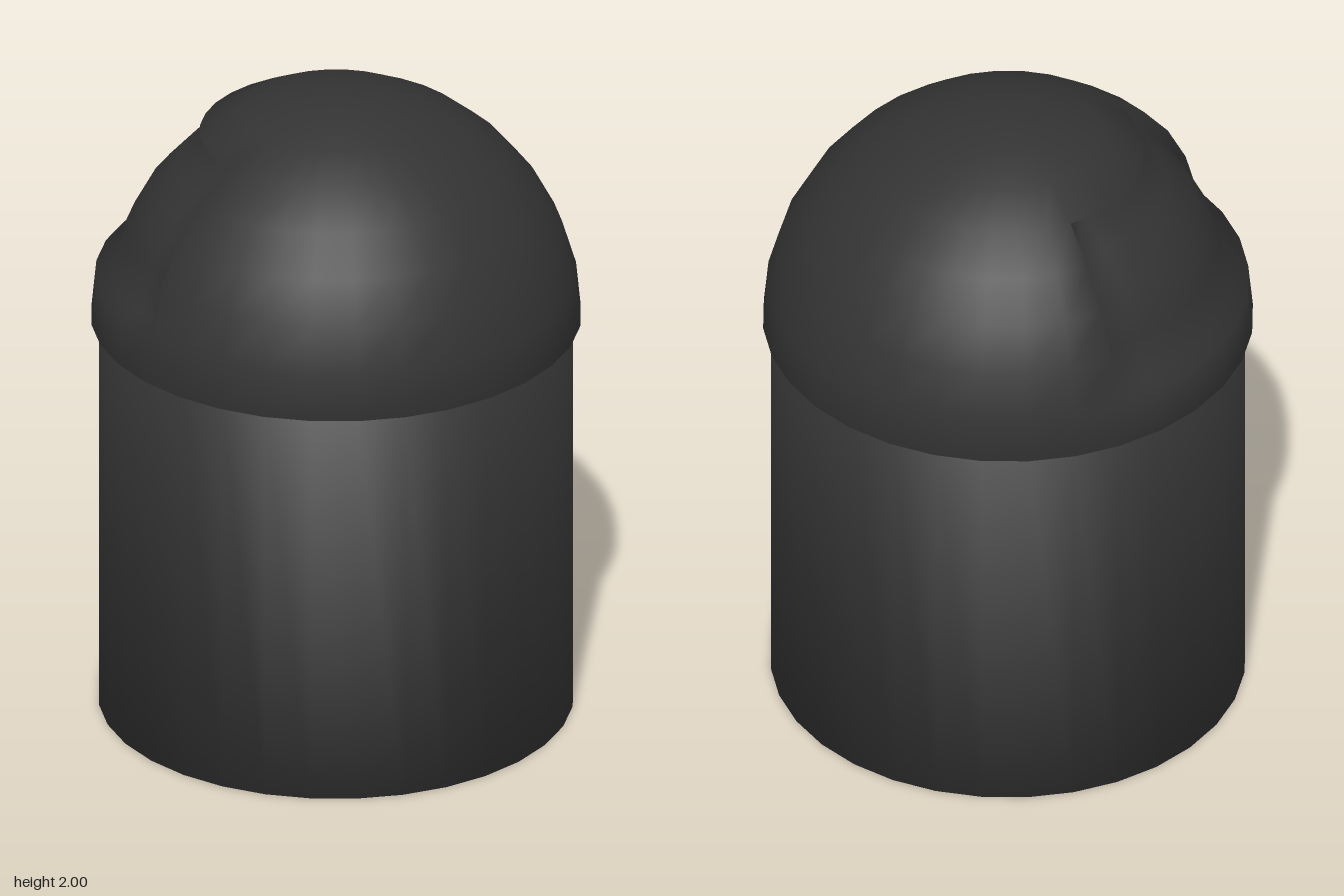
import * as THREE from 'three';

const SIDES = 32, RINGS = 8;
const LID_R = 0.735, LID_Y = 1.265, BODY_R = 0.712;

// Opening in the dome: ring and segment limits, and the flap's own profile [radius, y]
const R0 = 1, R1 = 5, S0 = -4, S1 = 5;
const FLAP = [[0.665, 1.415], [0.63, 1.55], [0.565, 1.67], [0.47, 1.775], [0.35, 1.868]];

// Domed lid with a recessed flap and an underside lip, as one smooth surface
function lidGeometry() {
  const positions = [], index = [], ids = new Map();
  const wrap = j => (j + SIDES) % SIDES;
  const vertex = (key, r, y, j) => {
    if (!ids.has(key)) {
      const a = j * 2 * Math.PI / SIDES; // angle 0 points to -x, growing towards +z
      ids.set(key, positions.length / 3);
      positions.push(-r * Math.cos(a), y, r * Math.sin(a));
    }
    return ids.get(key);
  };
  const outer = (i, j) => {
    if (i === RINGS) return vertex('pole', 0, LID_Y + LID_R, 0);
    const t = i / RINGS * Math.PI / 2;
    return vertex(`o${i},${wrap(j)}`, LID_R * Math.cos(t), LID_Y + LID_R * Math.sin(t), j);
  };
  const inner = (i, j) => vertex(`i${i},${j}`, ...FLAP[i - R0], j);
  const lip = j => vertex(`l${wrap(j)}`, BODY_R - 0.01, LID_Y, j);
  const quad = (a, b, c, d) => {
    index.push(a, b, c);
    if (c !== d) index.push(a, c, d);
  };

  for (let j = S0; j < S0 + SIDES; j++) {
    quad(lip(j), lip(j + 1), outer(0, j + 1), outer(0, j));
    for (let i = 0; i < RINGS; i++) {
      const p = i >= R0 && i < R1 && j < S1 ? inner : outer;
      quad(p(i, j), p(i, j + 1), p(i + 1, j + 1), p(i + 1, j));
    }
  }
  // Ledge below and overhang above the flap
  for (let j = S0; j < S1; j++) {
    quad(outer(R0, j), outer(R0, j + 1), inner(R0, j + 1), inner(R0, j));
    quad(inner(R1, j), inner(R1, j + 1), outer(R1, j + 1), outer(R1, j));
  }
  // Side walls of the opening
  for (let i = R0; i < R1; i++) {
    quad(outer(i, S0), inner(i, S0), inner(i + 1, S0), outer(i + 1, S0));
    quad(inner(i, S1), outer(i, S1), outer(i + 1, S1), inner(i + 1, S1));
  }

  const geometry = new THREE.BufferGeometry();
  geometry.setAttribute('position', new THREE.Float32BufferAttribute(positions, 3));
  geometry.setIndex(index);
  geometry.computeVertexNormals();
  return geometry;
}

export function createModel() {
  const group = new THREE.Group();
  group.name = 'dustbin';
  const plastic = new THREE.MeshStandardMaterial({ color: 0x333333 });
  plastic.name = 'dark grey plastic';

  // Closed cylindrical body
  const profile = [[0, 0], [BODY_R, 0], [BODY_R, 1.27], [0, 1.27]]
    .map(([x, y]) => new THREE.Vector2(x, y));
  const body = new THREE.Mesh(new THREE.LatheGeometry(profile, SIDES), plastic);
  body.name = 'body';

  const lid = new THREE.Mesh(lidGeometry(), plastic);
  lid.name = 'domedLid';

  group.add(body, lid);
  return group;
}
